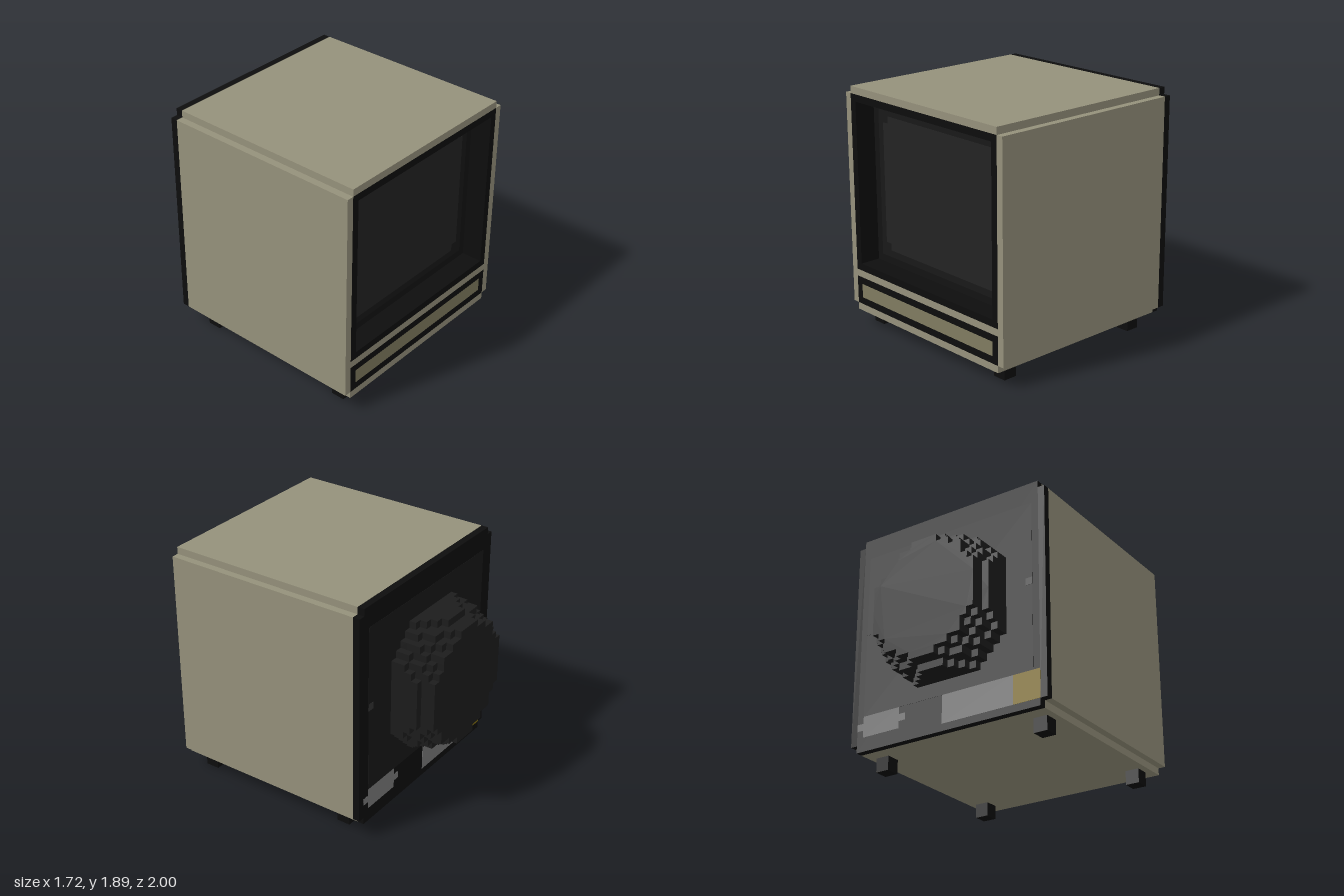
import * as THREE from 'three';

const U = 1 / 18; // one block

const COLORS = {
  shell: 0x95917b, black: 0x0d0d0d, ringOuter: 0x131313, ringInner: 0x181818,
  glass: 0x232323, trim: 0x807c60, back: 0x181818, tube: 0x1c1c1c,
  grey: 0x7a7a7a, dark: 0x333333, yellow: 0x867211,
};
const materials = {};
for (const key in COLORS) {
  materials[key] = new THREE.MeshStandardMaterial({ color: COLORS[key], flatShading: true });
}

export function createModel() {
  const root = new THREE.Group();
  root.name = 'television';

  // Box from its block limits
  function box(name, mat, x0, x1, y0, y1, z0, z1) {
    const geo = new THREE.BoxGeometry((x1 - x0) * U, (y1 - y0) * U, (z1 - z0) * U);
    const mesh = new THREE.Mesh(geo, materials[mat]);
    mesh.position.set((x0 + x1) / 2 * U, (y0 + y1) / 2 * U, (z0 + z1) / 2 * U);
    mesh.name = name;
    root.add(mesh);
  }

  // Rectangular frame extruded between z0 and z1
  function frame(name, mat, outer, inner, z0, z1) {
    const corners = ([x, y0, y1]) => [[-x, y0], [x, y0], [x, y1], [-x, y1]]
      .map(([a, b]) => new THREE.Vector2(a * U, b * U));
    const shape = new THREE.Shape(corners(outer));
    shape.holes.push(new THREE.Path(corners(inner).reverse()));
    const geo = new THREE.ExtrudeGeometry(shape, { depth: (z1 - z0) * U, bevelEnabled: false });
    const mesh = new THREE.Mesh(geo, materials[mat]);
    mesh.position.z = z0 * U;
    mesh.name = name;
    root.add(mesh);
  }

  // Cabinet: core, inset top and bottom boards, side boards
  box('cabinetCore', 'shell', -14.5, 14.5, 3, 33, -11, 14.9);
  box('topBoard', 'shell', -14.5, 14.5, 33, 34, -11, 18);
  box('bottomBoard', 'shell', -14.5, 14.5, 2, 3, -11, 18);
  box('frontBar', 'shell', -14.5, 14.5, 7, 8, 14.9, 18);
  for (const s of [-1, 1]) {
    const [a, b] = s < 0 ? [-15.5, -14.5] : [14.5, 15.5];
    box('sideBoard', 'shell', a, b, 3, 33, -11, 18);
    box('backSideEdge', 'black', a, b, 3, 33, -12, -11);
  }

  // Screen with bezel flush to the front and rings around the glass
  frame('screenBezel', 'black', [14.5, 8, 33], [13.5, 9, 32], 14.9, 18);
  frame('outerScreenRing', 'ringOuter', [13.5, 9, 32], [12.5, 10, 31], 14.9, 15);
  box('innerScreenRing', 'ringInner', -12.5, 12.5, 10, 31, 14.9, 15);
  box('screenGlass', 'glass', -11.5, 11.5, 12, 29, 14.95, 15.04);
  box('screenGlassTop', 'glass', -10.5, 10.5, 29, 30, 14.95, 15.04);
  box('screenGlassBottom', 'glass', -10.5, 10.5, 11, 12, 14.95, 15.04);

  // Control strip below the screen
  frame('controlFrame', 'black', [14.5, 3, 7], [13.5, 4, 6], 14.9, 18);
  box('controlPanel', 'trim', -13.5, 13.5, 4, 6, 14.9, 18);

  // Feet
  for (const x of [-12.5, 12.5]) {
    for (const z of [15, -8]) box('foot', 'black', x - 1, x + 1, 0, 2, z - 1, z + 1);
  }

  // Back cover, sockets, markers and label
  const zb = -12.03;
  box('backCover', 'black', -14.5, 14.5, 2, 34, -12, -11);
  box('backPanel', 'back', -13.5, 13.5, 7, 31, zb, -11.9);
  box('socketPlate', 'grey', 7.5, 13.5, 4, 7, zb, -11.9);
  box('socketTab', 'grey', 13.5, 14.5, 5, 6, zb, -11.9);
  box('socketTab', 'grey', 6.5, 7.5, 5, 6, zb, -11.9);
  box('ratingLabel', 'grey', -10.5, 0.5, 3, 7, zb, -11.9);
  box('warningLabel', 'yellow', -14.5, -10.5, 3, 7, zb, -11.9);
  for (const x of [-13, 13]) box('backMarker', 'dark', x - 0.5, x + 0.5, 19, 20, -12.06, -11.9);

  // Tube housing: stepped discs, one block deep, shrinking towards the back
  const housing = new THREE.Group();
  housing.name = 'tubeHousing';
  housing.position.set(-0.5 * U, 18.5 * U, 0);
  root.add(housing);
  [10.2, 9.9, 9.6, 9.2, 8.6, 8.2].forEach((r, i) => {
    const maxY = i < 4 ? 9 : 8;
    const right = [];
    for (let y = -maxY; y <= maxY; y++) {
      const half = Math.min(i < 4 ? 9 : 8, Math.floor(Math.sqrt(r * r - y * y) + 0.5));
      right.push([half, y - 0.5], [half, y + 0.5]);
    }
    const left = right.map(([x, y]) => [-x, y]).reverse();
    const points = [...right, ...left].map(([x, y]) => new THREE.Vector2(x * U, y * U));
    const geo = new THREE.ExtrudeGeometry(new THREE.Shape(points), { depth: U, bevelEnabled: false });
    const disc = new THREE.Mesh(geo, materials.tube);
    disc.position.z = (-13 - i) * U;
    disc.name = 'tubeHousingStep';
    housing.add(disc);
  });

  return root;
}
